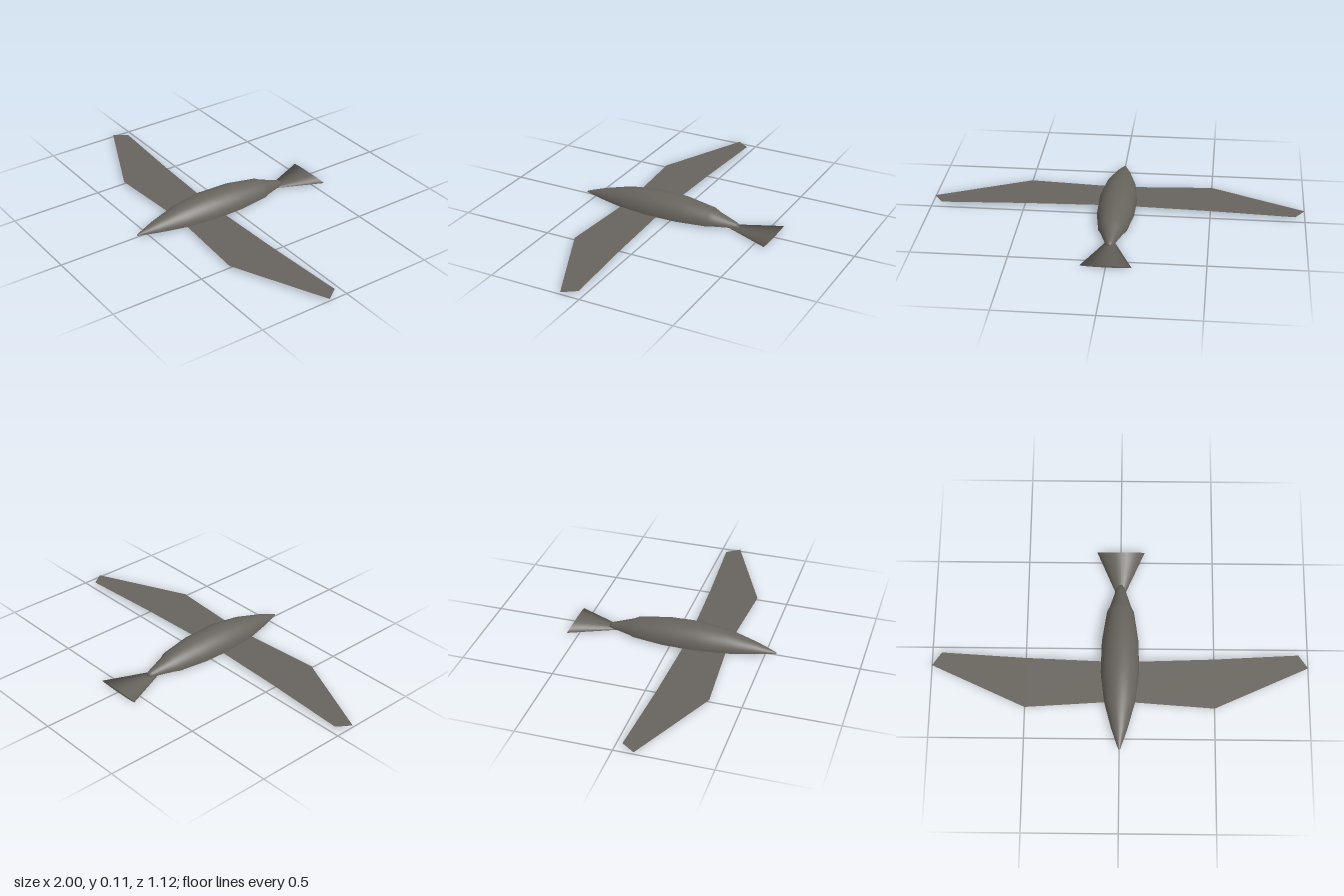
import * as THREE from 'three';

export function createModel() {
  const model = new THREE.Group();
  const plumage = new THREE.MeshStandardMaterial({ color: 0x67635d });
  plumage.name = 'dark plumage';
  const wingFeathers = new THREE.MeshStandardMaterial({ color: 0x67635d, side: THREE.DoubleSide });
  wingFeathers.name = 'wing feathers';

  const add = (name, geometry, material, y, z = 0) => {
    const mesh = new THREE.Mesh(geometry, material);
    mesh.name = name;
    mesh.position.set(0, y, z);
    model.add(mesh);
  };
  // Flat outline given as [x, z], facing down
  const flat = (points) => new THREE.ShapeGeometry(
    new THREE.Shape(points.map(([x, z]) => new THREE.Vector2(x, z)))).rotateX(Math.PI / 2);

  // Body: half a lathe lying along z, as [radius, z] from rear to beak
  const profile = [[0, -0.362], [0.012, -0.36], [0.022, -0.345], [0.058, -0.235], [0.073, -0.205],
    [0.098, -0.04], [0.102, 0.14], [0.082, 0.3], [0.042, 0.45], [0.006, 0.555], [0, 0.56]];
  const body = new THREE.LatheGeometry(
    profile.map(([r, z]) => new THREE.Vector2(r, z)), 20, Math.PI / 2, Math.PI).rotateX(Math.PI / 2);
  add('body', body, plumage, 0.01);

  // Flat belly closing the half body
  const mirrored = profile.slice(1, -1).reverse().map(([r, z]) => [-r, z]);
  add('belly', flat([...profile, ...mirrored]), plumage, 0.01);

  // Wings: thin swept sheets
  const wing = [[0.06, 0.302], [0.06, 0.077], [0.5, 0.06], [0.95, 0.033], [1, 0.105], [0.5, 0.333]];
  for (const [name, side] of [['leftWing', 1], ['rightWing', -1]]) {
    // Keep the top side as the front on both wings
    const outline = wing.map(([x, z]) => [x * side, z]);
    add(name, flat(outline), wingFeathers, 0.0115);
  }

  // Tail: cone pressed flat, keeping its rounded shading
  const tail = new THREE.ConeGeometry(0.13, 0.3, 24).rotateX(Math.PI / 2);
  const p = tail.attributes.position;
  for (let i = 0; i < p.count; i++) p.setY(i, p.getY(i) * 0.04);
  add('tail', tail, plumage, 0.0052, -0.41);

  return model;
}
